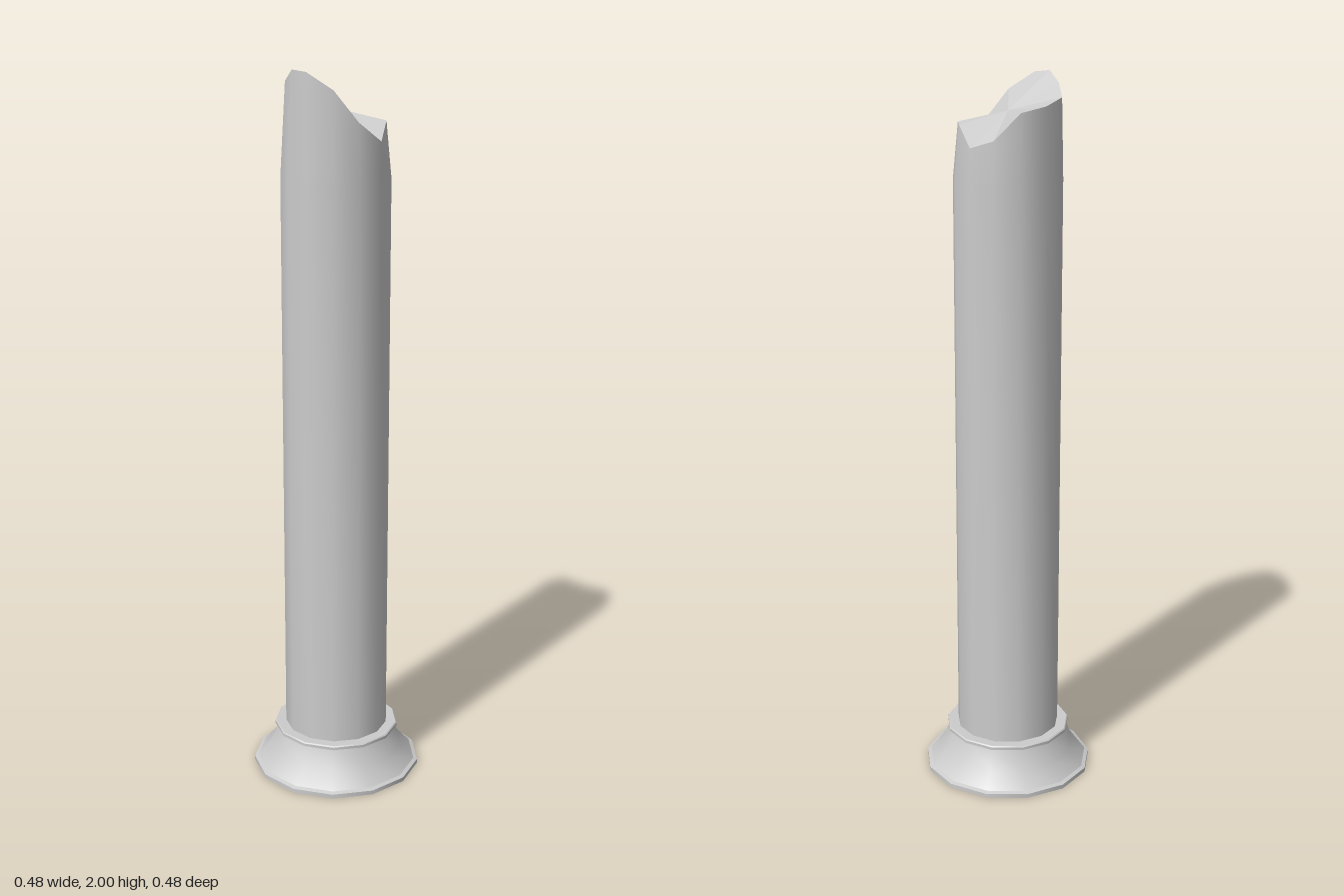
import * as THREE from 'three';
import { mergeVertices } from 'three/addons/utils/BufferGeometryUtils.js';

const SIDES = 13;
const SHAFT_R = 0.149;
const BREAK_Y = 1.72; // where the sides begin to chip inward
const CENTRE_Y = 1.9;

// broken rim, counted from +x towards +z: [height, share of the shaft radius]
const RIM = [
  [1.865, 0.91], [1.87, 0.9], [1.82, 0.99], [1.87, 0.92], [1.95, 0.93],
  [1.995, 1.01], [2.0, 0.9], [1.97, 0.9], [1.935, 1.01], [1.915, 1.0],
  [1.9, 0.97], [1.83, 0.98], [1.81, 0.98],
];

const rimPoint = (k) => {
  const [y, share] = RIM[k % SIDES];
  const a = (k / SIDES) * Math.PI * 2;
  return new THREE.Vector3(Math.cos(a) * SHAFT_R * share, y, Math.sin(a) * SHAFT_R * share);
};

const lathe = (profile) =>
  new THREE.LatheGeometry(profile.map(([r, y]) => new THREE.Vector2(r, y)), SIDES, Math.PI / 2);

export function createModel() {
  const group = new THREE.Group();
  const smooth = new THREE.MeshStandardMaterial({ color: 0xcccccc });
  const flat = new THREE.MeshStandardMaterial({ color: 0xcccccc, flatShading: true });

  const add = (parent, name, geometry, material = smooth) => {
    const mesh = new THREE.Mesh(geometry, material);
    mesh.name = name;
    parent.add(mesh);
  };

  // Base: separate bands keep the edges between them sharp
  const base = new THREE.Group();
  base.name = 'base';
  group.add(base);
  const bands = {
    underside: [[0, 0], [0.244, 0]],
    plinthEdge: [[0.244, 0], [0.244, 0.012]],
    plinthTop: [[0.244, 0.012], [0.233, 0.016]],
    flare: [[0.233, 0.016], [0.193, 0.06], [0.172, 0.116]],
    collarUnderside: [[0.172, 0.116], [0.181, 0.118]],
    collarEdge: [[0.181, 0.118], [0.181, 0.126]],
    collarBevel: [[0.181, 0.126], [0.178, 0.129]],
    collarTop: [[0.178, 0.129], [0.14, 0.129]],
  };
  for (const [name, profile] of Object.entries(bands)) add(base, name, lathe(profile));

  // Shaft: a smooth tube whose top ring is pulled onto the broken rim
  let shaft = lathe([[SHAFT_R, 0.125], [SHAFT_R, BREAK_Y], [SHAFT_R, 2]]);
  const pos = shaft.attributes.position;
  for (let i = 0; i < pos.count; i++) {
    if (pos.getY(i) < 1.99) continue;
    const turn = Math.atan2(pos.getZ(i), pos.getX(i)) / (Math.PI * 2);
    const p = rimPoint((Math.round(turn * SIDES) + SIDES) % SIDES);
    pos.setXYZ(i, p.x, p.y, p.z);
  }
  shaft.deleteAttribute('uv');
  shaft.deleteAttribute('normal');
  shaft = mergeVertices(shaft);
  shaft.computeVertexNormals();
  add(group, 'shaft', shaft);

  // Broken top: a fan of flat facets from the centre to the rim
  const centre = new THREE.Vector3(0, CENTRE_Y, 0);
  const corners = [];
  for (let k = 0; k < SIDES; k++) corners.push(centre, rimPoint(k + 1), rimPoint(k));
  const fan = new THREE.BufferGeometry().setFromPoints(corners);
  fan.computeVertexNormals();
  add(group, 'brokenTop', fan, flat);

  // an odd number of sides is not symmetric in x, so shift to centre it
  for (const part of group.children) part.position.x = -0.0035;
  return group;
}
